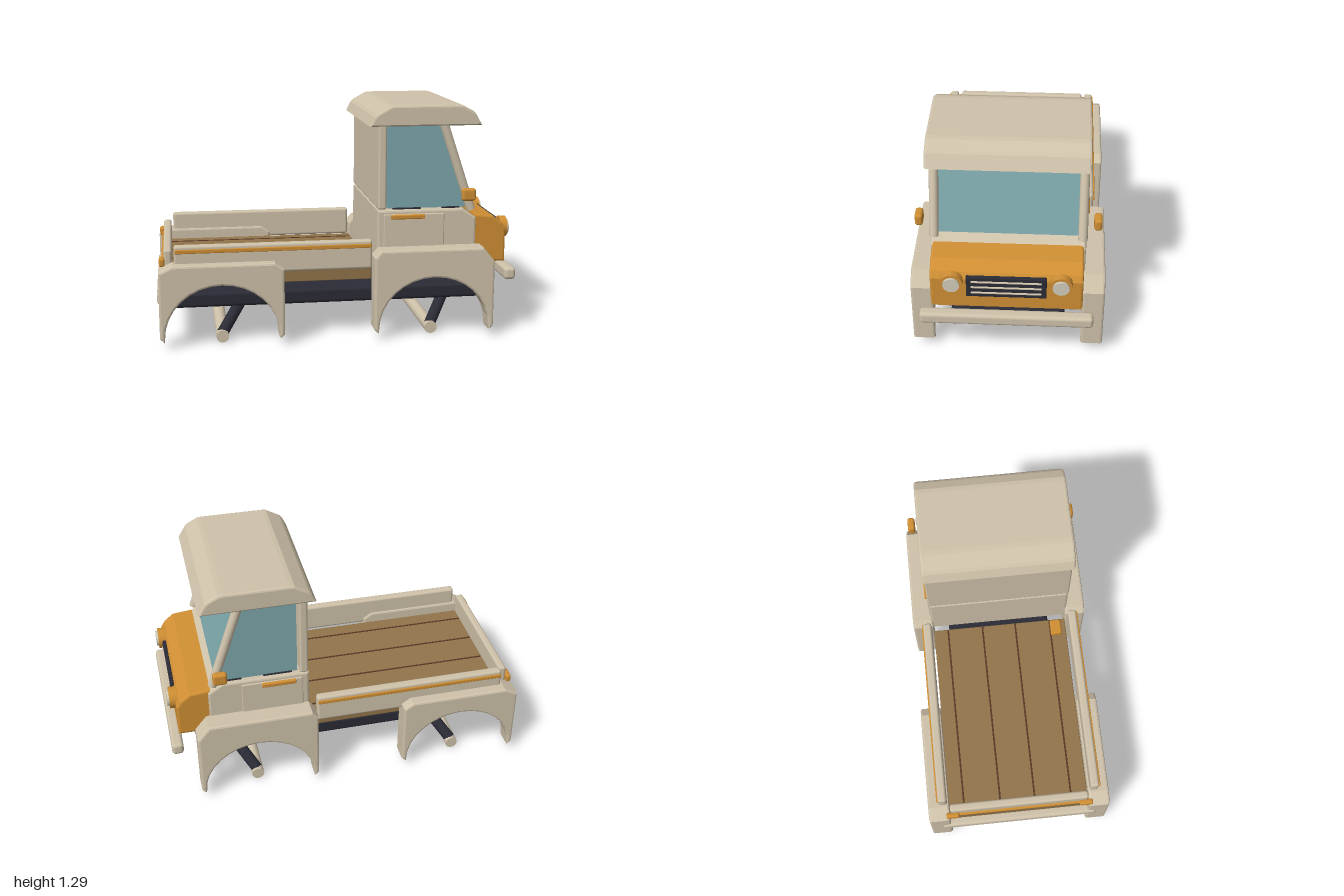
import * as THREE from 'three';
import { RoundedBoxGeometry } from 'three/addons/geometries/RoundedBoxGeometry.js';

const paint = (name, color) => {
  const m = new THREE.MeshStandardMaterial({ color });
  m.name = name;
  return m;
};

export function createModel() {
  const cream = paint('cream', 0xcfc2aa);
  const orange = paint('orange', 0xd08f34);
  const wood = paint('wood', 0x91744a);
  const seam = paint('darkWood', 0x573a26);
  const glass = paint('glass', 0x7da7ac);
  const dark = paint('charcoal', 0x2b2b36);
  const lens = paint('lens', 0xd2ccba);

  const truck = new THREE.Group();
  truck.name = 'pickupTruck';

  const add = (name, geometry, material) => {
    const mesh = new THREE.Mesh(geometry, material);
    mesh.name = name;
    truck.add(mesh);
    return mesh;
  };
  // Rounded box given by its limits on each axis
  const box = (name, mat, x0, x1, y0, y1, z0, z1, r = 0.01) => {
    const s = [x1 - x0, y1 - y0, z1 - z0];
    const g = new RoundedBoxGeometry(...s, 2, Math.min(r, Math.min(...s) * 0.45));
    g.translate((x0 + x1) / 2, (y0 + y1) / 2, (z0 + z1) / 2);
    return add(name, g, mat);
  };
  // Side profile extruded across the truck, with bevelled edges
  const profile = (name, mat, points, z0, z1, bevel = 0.012) => {
    const shape = new THREE.Shape(points.map(([x, y]) => new THREE.Vector2(x, y)));
    const g = new THREE.ExtrudeGeometry(shape, {
      depth: z1 - z0 - 2 * bevel, bevelEnabled: bevel > 0, bevelThickness: bevel,
      bevelSize: bevel, bevelOffset: -bevel, bevelSegments: 2,
    });
    g.translate(0, 0, z0 + bevel);
    return add(name, g, mat);
  };
  // Round bar between two points
  const bar = (name, mat, a, b, r) => {
    const from = new THREE.Vector3(...a), to = new THREE.Vector3(...b);
    const dir = to.clone().sub(from);
    const mesh = add(name, new THREE.CylinderGeometry(r, r, dir.length(), 16), mat);
    mesh.position.copy(from).add(to).multiplyScalar(0.5);
    mesh.quaternion.setFromUnitVectors(new THREE.Vector3(0, 1, 0), dir.normalize());
    return mesh;
  };
  // Same part on both sides: z limits measured outward from the middle
  const sideBox = (name, mat, x0, x1, y0, y1, zIn, zOut, r) => {
    box(name + 'Near', mat, x0, x1, y0, y1, zIn, zOut, r);
    box(name + 'Far', mat, x0, x1, y0, y1, -zOut, -zIn, r);
  };

  // Chassis and bumpers
  box('chassis', dark, -0.95, 0.84, 0.17, 0.255, -0.31, 0.31, 0.02);
  box('frontBumper', cream, 0.93, 0.995, 0.305, 0.375, -0.46, 0.46, 0.02);
  box('rearBumper', cream, -1.0, -0.94, 0.235, 0.305, -0.45, 0.45, 0.02);

  // Axles with slanted struts
  for (const [end, x] of [['rear', -0.65], ['front', 0.52]]) {
    bar(end + 'Axle', cream, [x, 0.035, -0.42], [x, 0.035, 0.42], 0.035);
    for (const s of [-1, 1])
      bar(end + 'Strut', dark, [x, 0.045, s * 0.385], [x + 0.14, 0.21, s * 0.19], 0.032);
  }

  // Fenders with arched cut-outs
  const fender = (name, x0, top, chamfers) => {
    const [l, lh, r, rh] = chamfers;
    const pts = [[x0, 0.065], [x0, top - lh], [x0 + l, top], [x0 + 0.675 - r, top],
      [x0 + 0.675, top - rh], [x0 + 0.675, 0.06], [x0 + 0.65, 0.04]];
    for (let i = 0; i <= 16; i++) {
      const a = (i / 16) * Math.PI;
      pts.push([x0 + 0.337 + 0.31 * Math.cos(a), 0.06 + 0.29 * Math.sin(a)]);
    }
    pts.push([x0 + 0.025, 0.04]);
    profile(name + 'Near', cream, pts, 0.4, 0.52);
    profile(name + 'Far', cream, pts, -0.52, -0.4);
  };
  fender('frontFender', 0.18, 0.51, [0.035, 0.04, 0.065, 0.08]);
  fender('rearFender', -0.99, 0.465, [0.075, 0.035, 0.05, 0.035]);

  // Cargo bed with plank seams
  box('bedFloor', wood, -0.96, 0.18, 0.325, 0.405, -0.4, 0.4, 0.005);
  for (const z of [-0.315, -0.105, 0.095, 0.305])
    box('plankSeam', seam, -0.915, 0.175, 0.4, 0.408, z - 0.005, z + 0.005, 0.001);
  sideBox('bedSide', cream, -0.905, 0.175, 0.4, 0.562, 0.41, 0.46, 0.015);
  sideBox('bedStripe', orange, -0.9, 0.17, 0.52, 0.542, 0.455, 0.468, 0.004);
  box('tailgate', cream, -0.96, -0.915, 0.4, 0.53, -0.395, 0.395, 0.015);
  box('tailStripe', orange, -0.972, -0.955, 0.45, 0.468, -0.395, 0.395, 0.004);
  sideBox('tailLight', orange, -0.985, -0.955, 0.44, 0.485, 0.345, 0.42);
  box('bedBlock', orange, 0.075, 0.165, 0.4, 0.445, 0.305, 0.37);

  // Cab lower body, doors and nose
  profile('cabBody', cream, [[0.21, 0.4], [0.77, 0.4], [0.77, 0.66], [0.69, 0.713],
    [0.21, 0.713]], -0.41, 0.41);
  profile('nose', orange, [[0.755, 0.4], [0.945, 0.4], [0.945, 0.585], [0.925, 0.62],
    [0.87, 0.665], [0.755, 0.677]], -0.4, 0.4);
  sideBox('door', cream, 0.245, 0.587, 0.45, 0.692, 0.4, 0.418, 0.006);
  sideBox('doorHandle', orange, 0.285, 0.475, 0.665, 0.69, 0.41, 0.432, 0.006);

  // Cab upper: rear wall, windows, pillars and roof
  box('cabRearWall', cream, 0.213, 0.26, 0.718, 1.19, -0.415, 0.415, 0.012);
  profile('windows', glass, [[0.27, 0.718], [0.722, 0.718], [0.562, 1.19], [0.27, 1.19]],
    -0.382, 0.382, 0);
  sideBox('windowSeal', dark, 0.3, 0.46, 0.708, 0.722, 0.36, 0.386, 0.004);
  sideBox('frontWindowSeal', dark, 0.58, 0.68, 0.708, 0.722, 0.36, 0.386, 0.004);
  for (const s of [-1, 1])
    bar('windscreenPillar', cream, [0.742, 0.705, s * 0.392], [0.565, 1.23, s * 0.392], 0.025);
  profile('roof', cream, [[0.165, 1.177], [0.79, 1.177], [0.75, 1.245], [0.735, 1.258],
    [0.68, 1.287], [0.655, 1.29], [0.305, 1.29], [0.28, 1.287], [0.205, 1.245],
    [0.19, 1.23]], -0.42, 0.42);
  sideBox('mirror', orange, 0.667, 0.745, 0.768, 0.838, 0.448, 0.49, 0.015);

  // Grille and headlights
  box('grille', dark, 0.935, 0.957, 0.48, 0.61, -0.21, 0.21, 0.004);
  for (const y of [0.51, 0.547, 0.583])
    box('grilleBar', cream, 0.952, 0.964, y - 0.005, y + 0.005, -0.185, 0.185, 0.004);
  for (const s of [-1, 1]) {
    bar('headlightRing', orange, [0.935, 0.577, s * 0.285], [0.975, 0.577, s * 0.285], 0.06);
    bar('headlightLens', lens, [0.96, 0.577, s * 0.285], [0.987, 0.577, s * 0.285], 0.044);
  }

  return truck;
}
